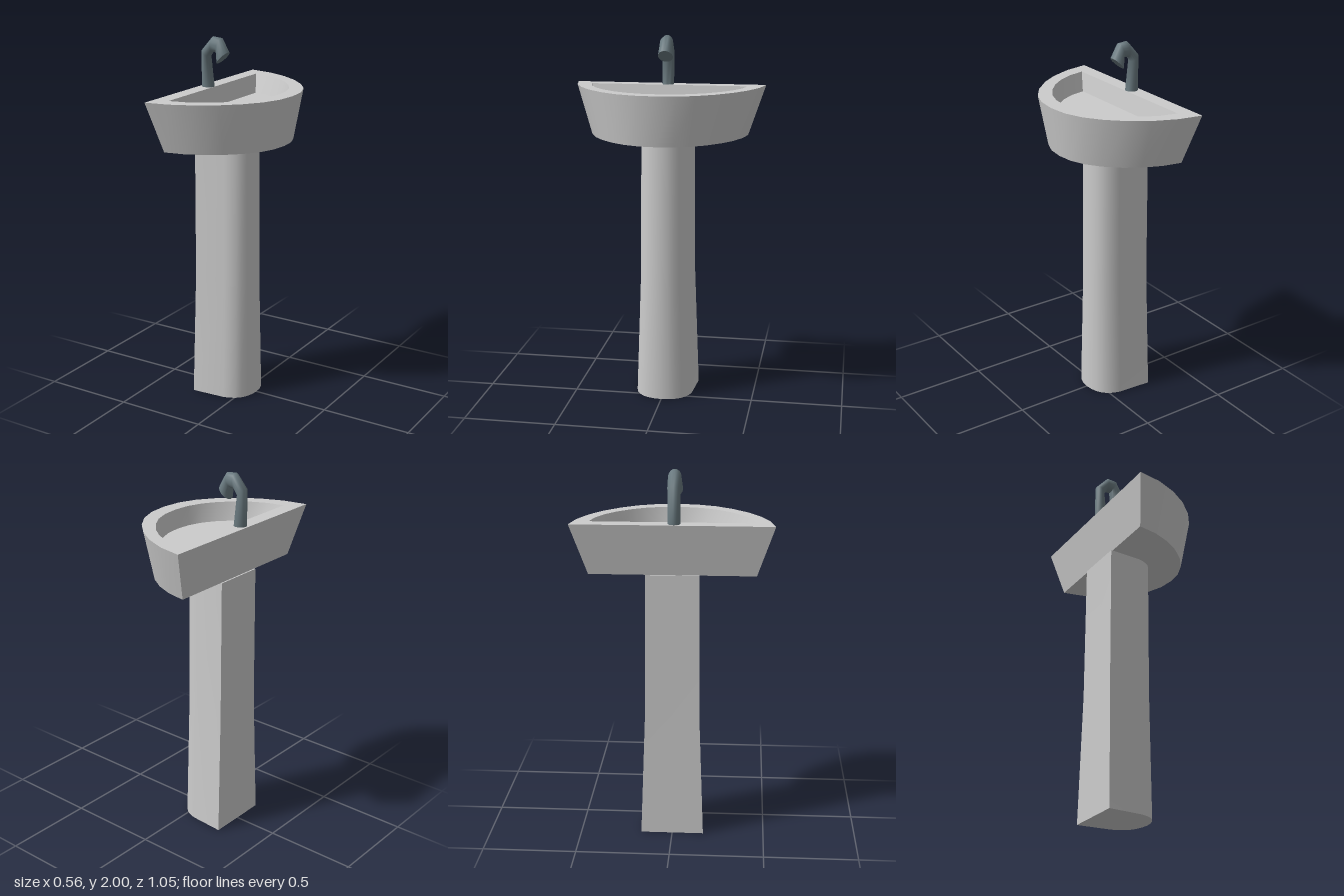
import * as THREE from 'three';
import { toCreasedNormals } from 'three/addons/utils/BufferGeometryUtils.js';

// Skin equal-length rings of [x, y, z] points, closing both ends.
function loft(name, rings, material, crease) {
  const n = rings[0].length;
  const pos = rings.flat(2);
  const index = [];
  for (let i = 0; i < rings.length - 1; i++) {
    for (let j = 0; j < n; j++) {
      const k = (j + 1) % n;
      const a = i * n + j, b = i * n + k, c = a + n, d = b + n;
      index.push(a, b, d, a, d, c);
    }
  }
  const last = rings.length - 1;
  for (const r of [0, last]) {
    const centre = pos.length / 3;
    for (let axis = 0; axis < 3; axis++) {
      pos.push(rings[r].reduce((sum, p) => sum + p[axis], 0) / n);
    }
    for (let j = 0; j < n; j++) {
      const a = r * n + j, b = r * n + (j + 1) % n;
      if (r === 0) index.push(centre, b, a);
      else index.push(centre, a, b);
    }
  }
  const geometry = new THREE.BufferGeometry();
  geometry.setAttribute('position', new THREE.Float32BufferAttribute(pos, 3));
  geometry.setIndex(index);
  const mesh = new THREE.Mesh(toCreasedNormals(geometry, crease), material);
  mesh.name = name;
  return mesh;
}

// Mirror a half outline of [x, z], ending on z = 0, into a full D shape.
const mirror = (half) => [...half, ...half.slice(0, -1).reverse().map(([x, z]) => [x, -z])];

// Fit a D outline between back and front at height y, with a given half width.
function fit(outline, y, back, front, halfWidth) {
  const x0 = outline[0][0], z0 = outline[0][1];
  const x1 = Math.max(...outline.map((p) => p[0]));
  return outline.map(([x, z]) => [
    back + (x - x0) / (x1 - x0) * (front - back), y, z / z0 * halfWidth,
  ]);
}

export function createModel() {
  const model = new THREE.Group();
  model.name = 'pedestalSink';
  const ceramic = new THREE.MeshStandardMaterial({ color: 0xcccccc });
  const metal = new THREE.MeshStandardMaterial({ color: 0x6a7a80 });

  // Basin: tapered outer wall, flat rim, shallow recess
  const bowl = mirror([
    [-0.28, 0.525], [-0.15, 0.5], [-0.03, 0.45], [0.07, 0.385],
    [0.16, 0.3], [0.225, 0.21], [0.265, 0.11], [0.277, 0],
  ]);
  model.add(loft('basin', [
    fit(bowl, 1.46, -0.23, 0.23, 0.435),
    fit(bowl, 1.73, -0.28, 0.277, 0.525),
    fit(bowl, 1.73, -0.2, 0.195, 0.43),
    fit(bowl, 1.63, -0.18, 0.175, 0.39),
  ], ceramic, 0.6));

  // Pedestal: flat back, rounded front, flared foot
  const column = mirror([
    [-0.25, 0.17], [-0.06, 0.157], [-0.025, 0.147], [0.005, 0.131],
    [0.03, 0.109], [0.049, 0.078], [0.061, 0.04], [0.065, 0],
  ]);
  model.add(loft('pedestal', [
    fit(column, 0, -0.25, 0.065, 0.17),
    fit(column, 0.7, -0.24, 0.056, 0.145),
    fit(column, 1.46, -0.238, 0.055, 0.14),
  ], ceramic, 0.6));

  // Tap: rings given by outer x, y, inner x, y and half width
  const sides = 16;
  const tapRings = [
    [-0.27, 1.73, -0.2, 1.73, 0.033],
    [-0.267, 1.925, -0.222, 1.89, 0.033],
    [-0.2, 2.0, -0.205, 1.915, 0.033],
    [-0.15, 1.995, -0.175, 1.92, 0.034],
    [-0.108, 1.922, -0.172, 1.858, 0.041],
  ].map(([ox, oy, ix, iy, w]) => Array.from({ length: sides }, (_, j) => {
    const t = j / sides * Math.PI * 2;
    const c = Math.cos(t) / 2;
    return [
      (ox + ix) / 2 + c * (ix - ox),
      (oy + iy) / 2 + c * (iy - oy),
      0.01 - Math.sin(t) * w,
    ];
  }));
  model.add(loft('tap', tapRings, metal, 1.1));

  return model;
}
